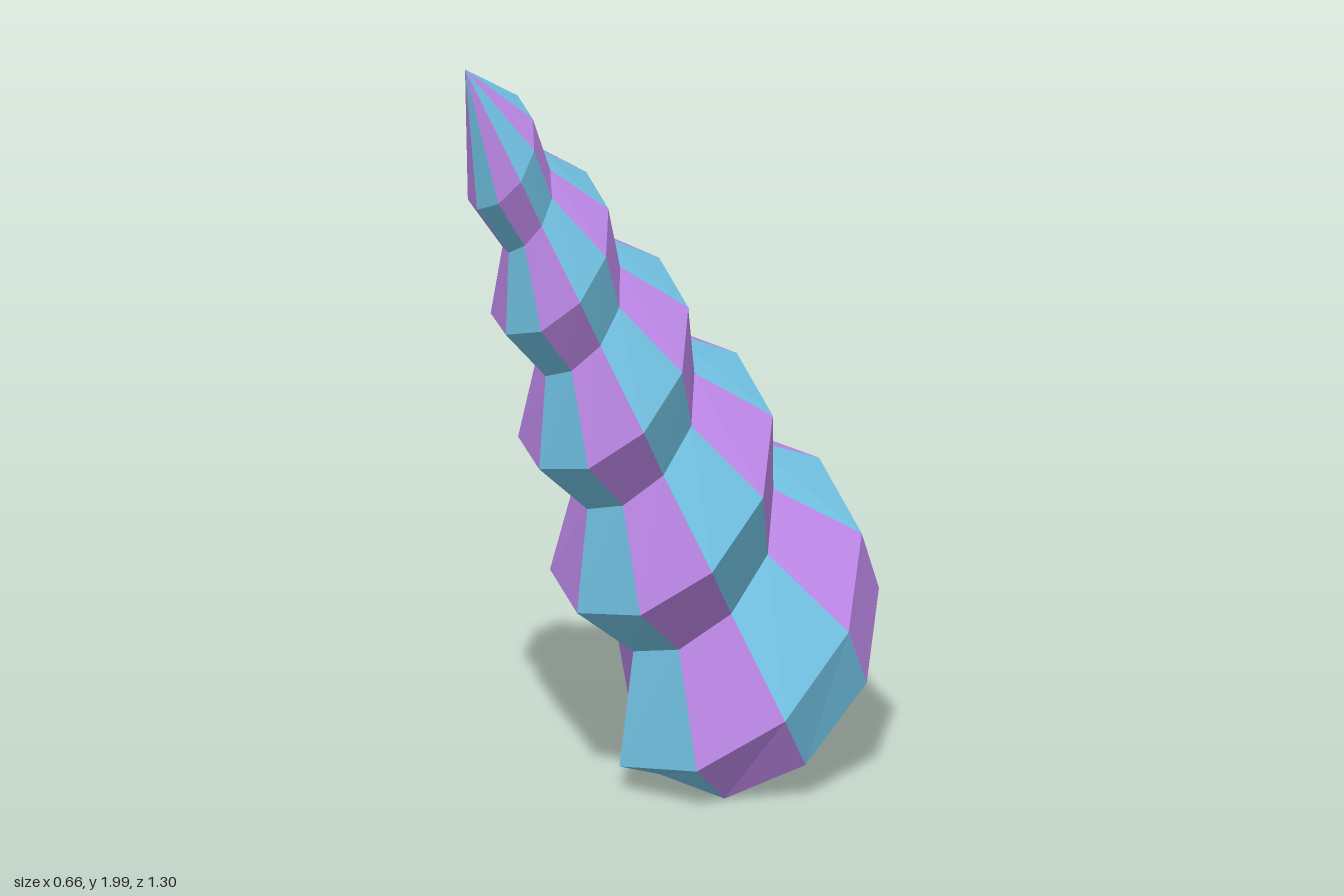
import * as THREE from 'three';

const SIDES = 10;
const LEAN = THREE.MathUtils.degToRad(32);
const TIP = new THREE.Vector3(0, 2, 0.64);
const BLUE = 0x78cdf0, PURPLE = 0xc890f5;

// Horn space to world: s runs along the leaning axis (0 at the tip), r is the radius.
function place(s, r, angle, tilt) {
  const t = r * Math.cos(angle) * 1.1;
  const along = s - tilt * t;
  return new THREE.Vector3(
    r * Math.sin(angle),
    TIP.y + Math.cos(LEAN) * along - Math.sin(LEAN) * t,
    TIP.z + Math.sin(LEAN) * along + Math.cos(LEAN) * t
  );
}

// Slanted base outline.
const basePoint = (angle) => place(-2.04, 0.3 + 0.025 * Math.sin(angle), angle, 0.315);

// Point on the spiral after a number of turns: ridge or valley.
function spiralPoint(turns, isRidge) {
  const angle = turns * Math.PI * 2;
  const facing = isRidge ? angle : angle - Math.PI; // valleys sit half a turn later
  if (turns < (isRidge ? -0.08 : 0.3)) return basePoint(facing);
  if (turns > (isRidge ? 4.55 : 4.3)) return TIP.clone();
  const s = -1.975 + 0.475 * turns - 0.0165 * turns * turns;
  const r = isRidge ? 0.36 - 0.063 * turns : 0.245 - 0.045 * turns;
  return place(s, r, facing, 0.08);
}

// One lengthwise column of points, from base to tip.
function column(j) {
  const start = (j + 0.5) / SIDES - 1;
  const points = [basePoint(start * Math.PI * 2)];
  for (let k = 0; k <= 12; k++) points.push(spiralPoint(start + k * 0.5, k % 2 === 0));
  points.push(TIP.clone());
  return points;
}

function makeMesh(name, triangles, color) {
  const corners = [];
  const area = new THREE.Triangle();
  for (const [a, b, c] of triangles) {
    if (area.set(a, b, c).getArea() > 1e-7) corners.push(a, b, c);
  }
  const geometry = new THREE.BufferGeometry().setFromPoints(corners);
  geometry.computeVertexNormals();
  const material = new THREE.MeshStandardMaterial({ color, flatShading: true });
  const mesh = new THREE.Mesh(geometry, material);
  mesh.name = name;
  return mesh;
}

export function createModel() {
  const horn = new THREE.Group();
  horn.name = 'spiralHorn';

  // Lengthwise stripes in alternating colours
  for (let j = 0; j < SIDES; j++) {
    const a = column(j), b = column(j + 1);
    const triangles = [];
    for (let k = 0; k + 1 < a.length; k++) {
      triangles.push([a[k], b[k], b[k + 1]], [a[k], b[k + 1], a[k + 1]]);
    }
    horn.add(makeMesh('hornStripe', triangles, j % 2 ? BLUE : PURPLE));
  }

  // Base cap in two halves
  const capHalf = (name, first, color) => {
    const rim = [];
    for (let j = first; j <= first + 5; j++) rim.push(basePoint(((j + 0.5) / SIDES) * Math.PI * 2));
    const triangles = [];
    for (let i = 1; i < 5; i++) triangles.push([rim[0], rim[i + 1], rim[i]]);
    horn.add(makeMesh(name, triangles, color));
  };
  capHalf('baseCapBack', 3, PURPLE);
  capHalf('baseCapFront', 8, BLUE);
  return horn;
}
